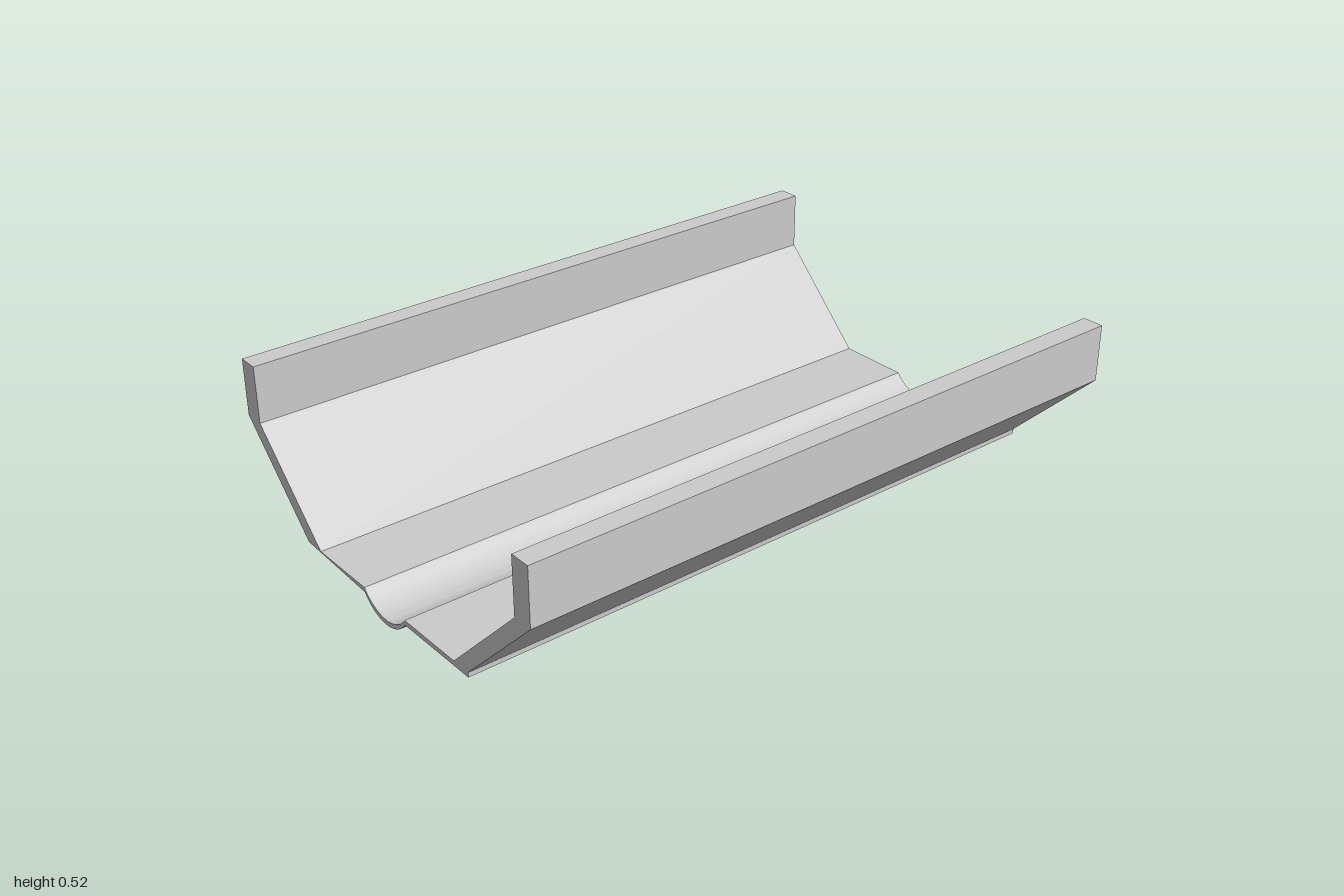
import * as THREE from 'three';
import { toCreasedNormals } from 'three/addons/utils/BufferGeometryUtils.js';

const LENGTH = 2;
const FLOOR_BOTTOM = 0.05, FLOOR_TOP = 0.065;
const GROOVE_RADIUS = 0.125;
const GROOVE_ANGLE = Math.atan2(0.075, 0.1); // groove lip, below horizontal

// Right-hand wall outline, from the floor's lower edge up over the rim and back down
const wall = [
  [0.395, FLOOR_BOTTOM], [0.395, FLOOR_TOP], [0.68, 0.345], [0.68, 0.52],
  [0.615, 0.52], [0.615, 0.345], [0.33, FLOOR_TOP],
];

function troughProfile() {
  const shape = new THREE.Shape();
  const left = Math.PI + GROOVE_ANGLE, right = 2 * Math.PI - GROOVE_ANGLE;

  // underside of the floor with the bulge of the groove
  shape.moveTo(-wall[0][0], wall[0][1]);
  shape.absarc(0, GROOVE_RADIUS, GROOVE_RADIUS, left, right, false);
  // wall on +x
  wall.forEach(([x, y]) => shape.lineTo(x, y));
  // upper side of the floor with the groove
  shape.absarc(0, GROOVE_RADIUS + FLOOR_TOP - FLOOR_BOTTOM, GROOVE_RADIUS, right, left, true);
  // mirrored wall on -x
  wall.slice(1).reverse().forEach(([x, y]) => shape.lineTo(-x, y));
  shape.closePath();
  return shape;
}

export function createModel() {
  const group = new THREE.Group();
  group.name = 'channel';

  // one continuous section: grooved floor, sloping sides and upright rims
  const geometry = new THREE.ExtrudeGeometry(troughProfile(), {
    depth: LENGTH, bevelEnabled: false, curveSegments: 24,
  });
  geometry.translate(0, 0, -LENGTH / 2);

  const trough = new THREE.Mesh(
    toCreasedNormals(geometry, 0.3),
    new THREE.MeshStandardMaterial({ color: 0xcccccc }),
  );
  trough.name = 'trough';
  group.add(trough);
  return group;
}
